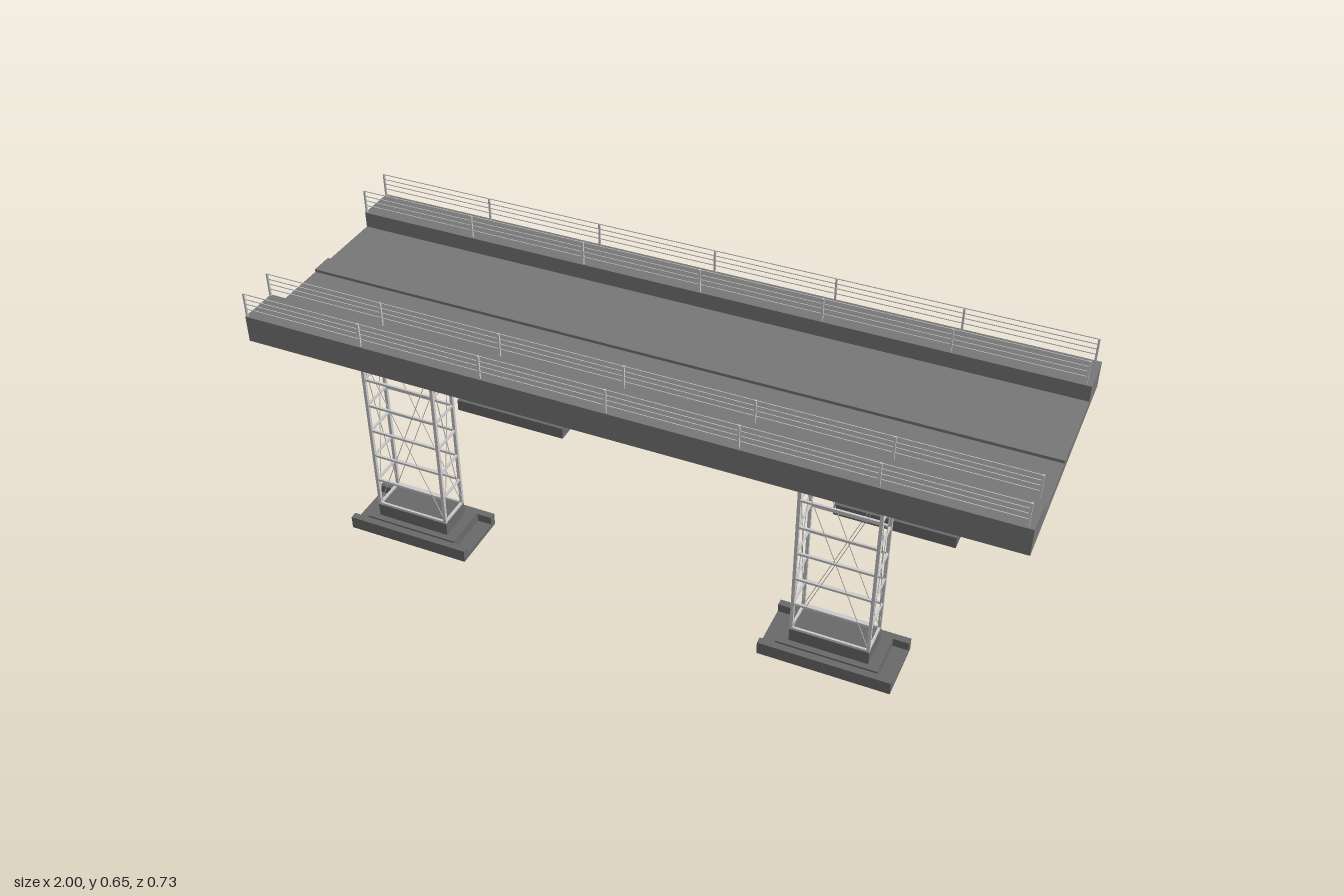
import * as THREE from 'three';

const paint = (color) => new THREE.MeshStandardMaterial({ color, flatShading: true });
const steel = paint(0xcccccc);
const asphalt = paint(0x787878);
const concrete = paint(0x6a6a6a);

function box(parent, name, mat, x0, x1, y0, y1, z0, z1) {
  const m = new THREE.Mesh(new THREE.BoxGeometry(x1 - x0, y1 - y0, z1 - z0), mat);
  m.position.set((x0 + x1) / 2, (y0 + y1) / 2, (z0 + z1) / 2);
  m.name = name;
  parent.add(m);
}

// Thin square rod between two points
function rod(parent, name, a, b, t) {
  const d = b.clone().sub(a);
  const m = new THREE.Mesh(new THREE.BoxGeometry(t, d.length(), t), steel);
  m.position.copy(a).addScaledVector(d, 0.5);
  m.quaternion.setFromUnitVectors(new THREE.Vector3(0, 1, 0), d.normalize());
  m.name = name;
  parent.add(m);
}

// Road deck: one cross-section with raised walkways and a median, run along x
function makeDeck() {
  const half = [[0.335, 0.511], [0.335, 0.584], [0.224, 0.584], [0.224, 0.54], [0.031, 0.54], [0.031, 0.548]];
  const pts = [...half, ...half.map(([z, y]) => [-z, y]).reverse()];
  const shape = new THREE.Shape(pts.map(([z, y]) => new THREE.Vector2(z, y)));
  const geo = new THREE.ExtrudeGeometry(shape, { depth: 2, bevelEnabled: false });
  geo.translate(0, 0, -1).rotateY(Math.PI / 2);
  const deck = new THREE.Mesh(geo, asphalt);
  deck.name = 'deck';
  return deck;
}

// Railing: seven posts and four thin rails
function makeRailing(z) {
  const g = new THREE.Group();
  g.name = 'railing';
  for (let i = 0; i < 7; i++) {
    const x = -0.997 + i * 0.3303;
    box(g, 'railingPost', steel, x - 0.0025, x + 0.0025, 0.58, 0.65, z - 0.0025, z + 0.0025);
  }
  for (const y of [0.605, 0.62, 0.634, 0.649])
    box(g, 'rail', steel, -1, 0.987, y - 0.001, y + 0.001, z - 0.001, z + 0.001);
  return g;
}

// Lattice tower on a stepped footing, centred on its own axis
function makePier() {
  const g = new THREE.Group();
  g.name = 'pier';
  const hx = 0.101, hz = 0.047, t = 0.008;

  // Footing: slab, raised side kerbs, step and pedestal
  box(g, 'footingSlab', concrete, -0.169, 0.169, 0, 0.012, -0.082, 0.082);
  for (const s of [-1, 1])
    box(g, 'footingKerb', concrete, -0.169, 0.169, 0.012, 0.035, s * 0.0725 - 0.0095, s * 0.0725 + 0.0095);
  box(g, 'footingStep', concrete, -0.129, 0.129, 0.012, 0.04, -0.063, 0.063);
  box(g, 'pedestal', concrete, -hx, hx, 0.03, 0.077, -hz, hz);

  // Corner legs
  const cx = hx - t / 2, cz = hz - t / 2;
  for (const sx of [-1, 1]) for (const sz of [-1, 1])
    box(g, 'leg', steel, sx * cx - t / 2, sx * cx + t / 2, 0.077, 0.515, sz * cz - t / 2, sz * cz + t / 2);

  // Horizontal struts around the four faces
  for (let i = 0; i < 6; i++) {
    const y = 0.08 + i * 0.08, r = 0.003;
    for (const s of [-1, 1]) {
      box(g, 'strut', steel, -cx, cx, y - r, y + r, s * cz - r, s * cz + r);
      box(g, 'strut', steel, s * cx - r, s * cx + r, y - r, y + r, -cz, cz);
    }
  }

  // Cross braces, which end just inside the deck
  const y0 = 0.08, y1 = 0.53, k = 1 - 2 * (y1 - y0) / 0.48;
  for (const face of [-1, 1]) for (const s of [-1, 1]) {
    rod(g, 'brace', new THREE.Vector3(s * cx, y0, face * cz), new THREE.Vector3(s * cx * k, y1, face * cz), 0.0016);
    rod(g, 'brace', new THREE.Vector3(face * cx, y0, s * cz), new THREE.Vector3(face * cx, y1, s * cz * k), 0.0016);
  }
  return g;
}

export function createModel() {
  const model = new THREE.Group();
  model.name = 'bridge';
  model.add(makeDeck());
  for (const z of [-0.33, -0.229, 0.229, 0.33]) model.add(makeRailing(z));
  for (const x of [-0.576, 0.571]) for (const s of [-1, 1]) {
    const pier = makePier();
    pier.position.set(x, 0, s * 0.282);
    model.add(pier);
  }
  return model;
}
